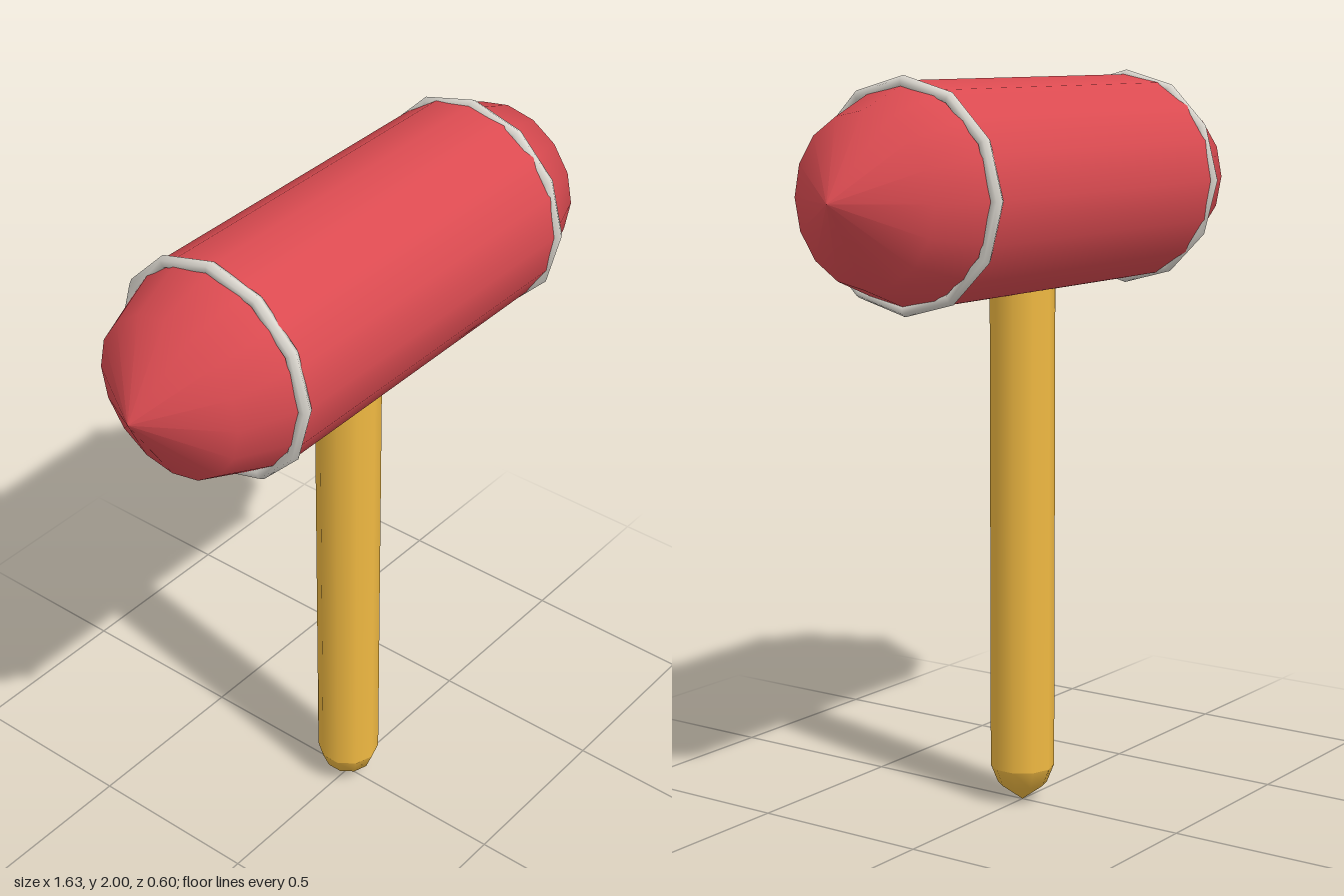
import * as THREE from 'three';

const red = new THREE.MeshStandardMaterial({ color: 0xdb4b51 });
const yellow = new THREE.MeshStandardMaterial({ color: 0xf0b942 });
const ivory = new THREE.MeshStandardMaterial({ color: 0xdcd8d0 });

function part(name, geometry, material) {
  const mesh = new THREE.Mesh(geometry, material);
  mesh.name = name;
  return mesh;
}

// Smooth lathe from [radius, height] pairs, listed from bottom to top
function lathe(profile, sides) {
  return new THREE.LatheGeometry(profile.map(([r, y]) => new THREE.Vector2(r, y)), sides);
}

export function createModel() {
  const model = new THREE.Group();
  model.name = 'mallet';

  // Handle: ten-sided shaft with a rounded foot, sunk into the head
  const handle = new THREE.Group();
  handle.name = 'handle';
  const shaft = part('shaft', new THREE.CylinderGeometry(0.088, 0.088, 1.4, 10), yellow);
  shaft.position.y = 0.8;
  handle.add(shaft, part('handleFoot', lathe([[0, 0], [0.068, 0.05], [0.088, 0.1]], 10), yellow));
  model.add(handle);

  // Head: barrel lying along x
  const head = new THREE.Group();
  head.name = 'head';
  head.position.y = 1.7;
  const barrel = part('barrel', new THREE.CylinderGeometry(0.287, 0.287, 1.02, 16), red);
  barrel.rotation.z = Math.PI / 2;
  head.add(barrel);

  // Domed cap and trim ring at each end
  for (const [side, s] of [['left', 1], ['right', -1]]) {
    const cap = part(side + 'Cap', lathe([[0.278, 0], [0.218, 0.165], [0, 0.305]], 16), red);
    cap.rotation.z = -s * Math.PI / 2;
    cap.position.x = s * 0.51;

    const ring = part(side + 'Ring', new THREE.TorusGeometry(0.283, 0.017, 6, 12), ivory);
    ring.rotation.y = Math.PI / 2;
    ring.position.x = s * 0.512;
    head.add(cap, ring);
  }
  model.add(head);

  return model;
}
